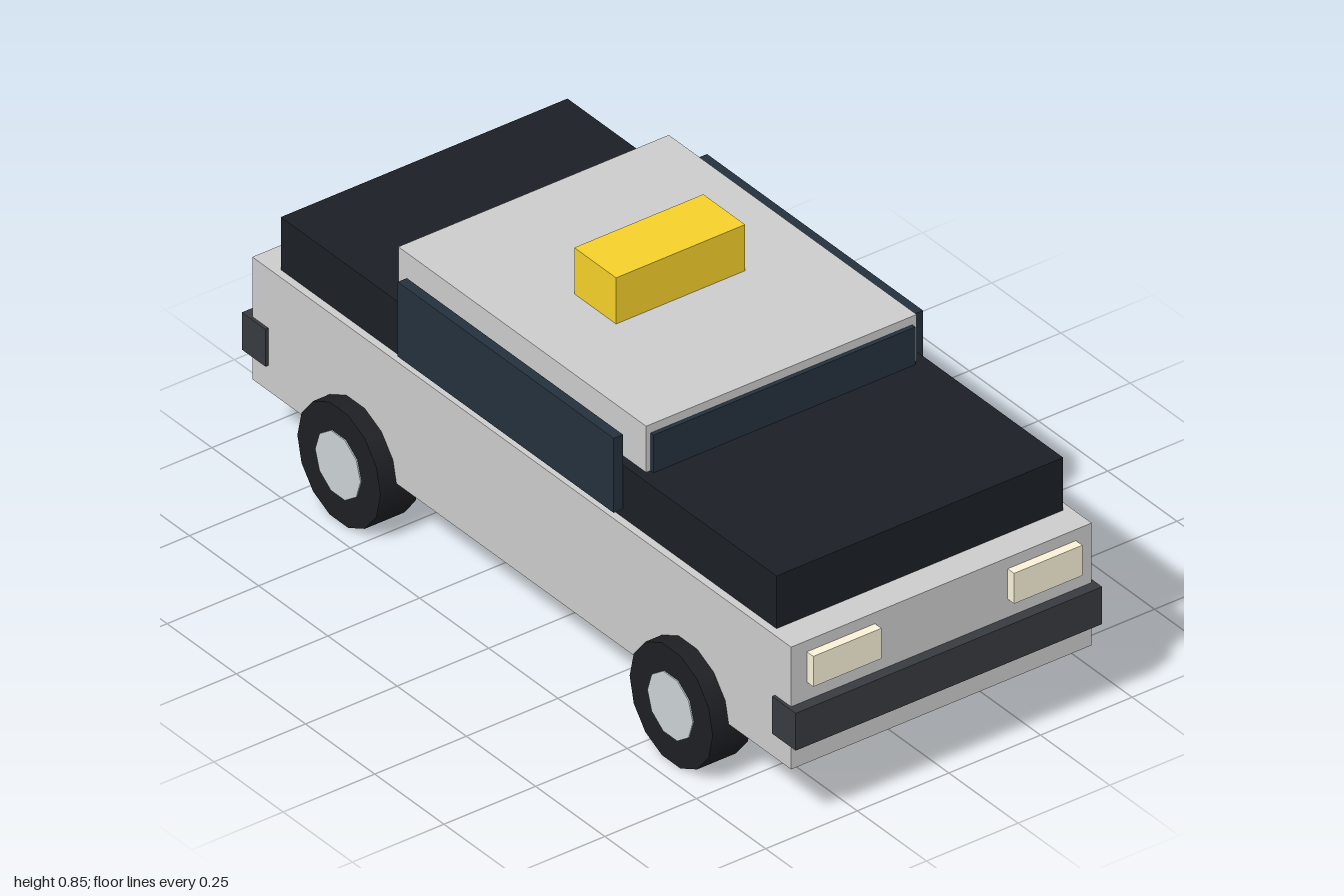
import * as THREE from 'three';

const mat = (color) => new THREE.MeshStandardMaterial({ color });

export function createModel() {
  const car = new THREE.Group();
  car.name = 'car';

  const paint = mat(0xcccccc);
  const black = mat(0x1b2026);
  const glass = mat(0x24313d);
  const trim = mat(0x373a3f);
  const tyreMat = mat(0x1e1f23);
  const hubMat = mat(0xcbd1d5);
  const lampMat = mat(0xfaf2d8);
  const redMat = mat(0xa01818);
  const yellow = mat(0xf5d02a);

  // Box given by its low and high limits on each axis
  const box = (name, material, [x0, x1], [y0, y1], [z0, z1]) => {
    const mesh = new THREE.Mesh(new THREE.BoxGeometry(x1 - x0, y1 - y0, z1 - z0), material);
    mesh.position.set((x0 + x1) / 2, (y0 + y1) / 2, (z0 + z1) / 2);
    mesh.name = name;
    car.add(mesh);
  };

  // Body, dark upper deck, cabin and roof sign
  box('body', paint, [-0.41, 0.41], [0.157, 0.475], [-0.973, 0.973]);
  box('upperDeck', black, [-0.391, 0.391], [0.475, 0.612], [-0.895, 0.895]);
  box('cabin', paint, [-0.369, 0.369], [0.6, 0.732], [-0.5, 0.395]);
  box('roofSign', yellow, [-0.176, 0.176], [0.732, 0.852], [-0.12, 0.031]);

  // Windscreens and bumpers
  box('frontWindscreen', glass, [-0.357, 0.357], [0.52, 0.71], [0.38, 0.406]);
  box('rearWindscreen', glass, [-0.357, 0.357], [0.52, 0.7], [-0.504, -0.48]);
  box('frontBumper', trim, [-0.418, 0.418], [0.223, 0.32], [0.915, 1]);
  box('rearBumper', trim, [-0.418, 0.418], [0.223, 0.32], [-1, -0.915]);

  // Cylinder lying along x, with its corners pointing to the front and back
  const disc = (name, material, radius, width, sides) => {
    const geometry = new THREE.CylinderGeometry(radius, radius, width, sides);
    geometry.rotateZ(Math.PI / 2);
    const mesh = new THREE.Mesh(geometry, material);
    mesh.name = name;
    return mesh;
  };

  for (const s of [-1, 1]) {
    const side = s > 0 ? 'left' : 'right';
    const span = (a, b) => (s > 0 ? [a, b] : [-b, -a]);

    // Side glass and lamps
    box(side + 'SideWindow', glass, span(0.397, 0.422), [0.503, 0.697], [-0.432, 0.348]);
    box(side + 'Headlight', lampMat, span(0.181, 0.367), [0.367, 0.446], [0.96, 0.996]);
    box(side + 'TailLight', redMat, span(0.193, 0.357), [0.371, 0.439], [-0.993, -0.96]);

    // Wheels with hubs showing on both faces
    for (const z of [-0.6, 0.6]) {
      const wheel = new THREE.Group();
      wheel.name = side + (z > 0 ? 'FrontWheel' : 'RearWheel');
      wheel.add(disc('tyre', tyreMat, 0.15, 0.107, 14), disc('hub', hubMat, 0.082, 0.113, 10));
      wheel.position.set(s * 0.402, 0.1465, z);
      car.add(wheel);
    }
  }
  return car;
}
